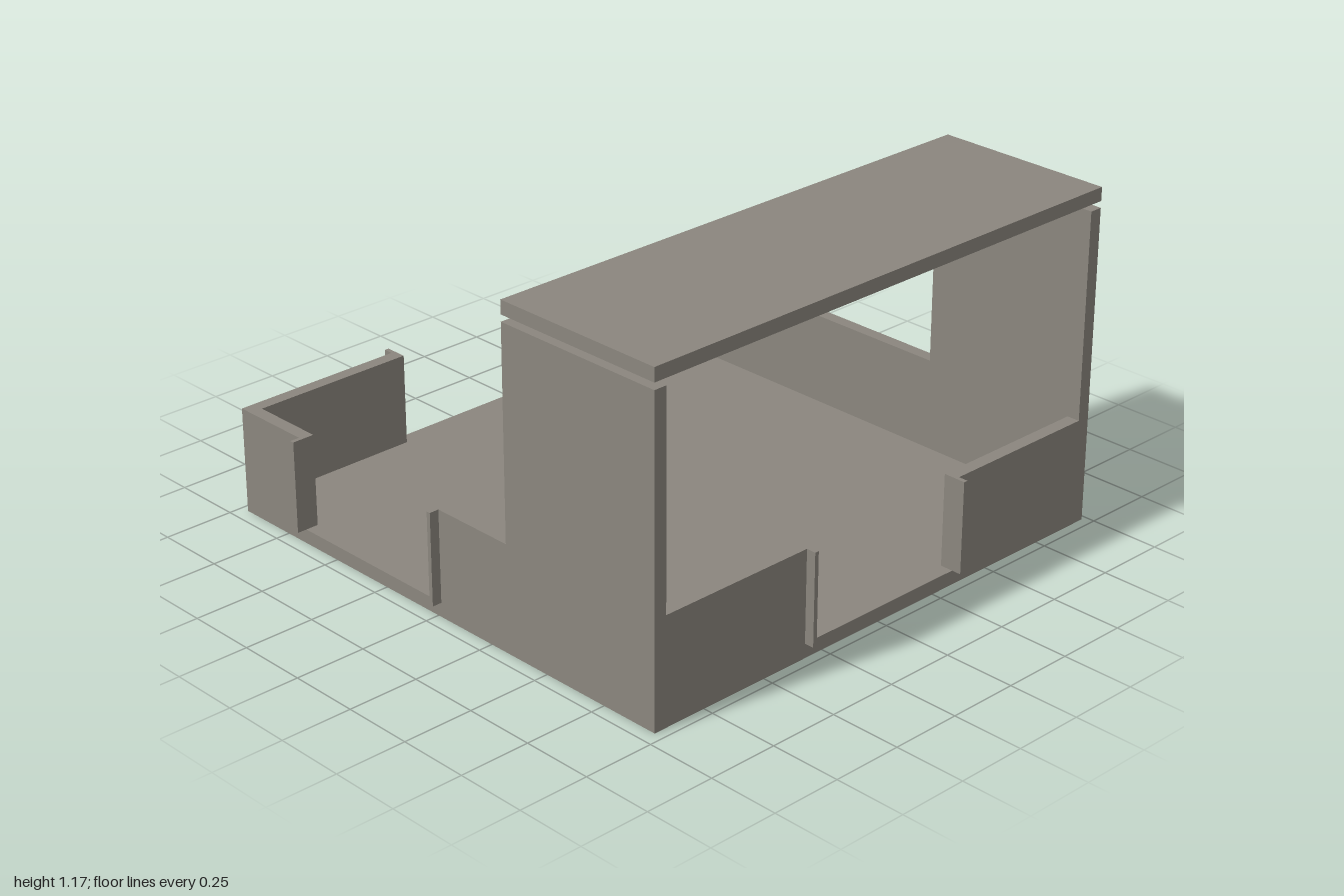
import * as THREE from 'three';

export function createModel() {
  const model = new THREE.Group();
  model.name = 'roomModel';
  const stone = new THREE.MeshStandardMaterial({ color: 0x8b867e });
  stone.name = 'warm grey';

  // Box given by its min and max on each axis
  function block(name, [x0, x1], [y0, y1], [z0, z1]) {
    const mesh = new THREE.Mesh(new THREE.BoxGeometry(x1 - x0, y1 - y0, z1 - z0), stone);
    mesh.name = name;
    mesh.position.set((x0 + x1) / 2, (y0 + y1) / 2, (z0 + z1) / 2);
    model.add(mesh);
  }

  const R = -0.95, L = 0.98, B = -0.968, F = 0.965; // outer faces
  const T = 0.046;                                 // wall thickness
  const J = 0.015;                                 // jamb thickness
  const OUT = 0.034;                               // jamb projection
  const floorTop = 0.05, wallTop = 0.373;
  const wallY = [floorTop, wallTop];
  const doorR = -0.31, doorL = 0.34;               // front and back openings
  const sideBack = -0.655, sideFront = 0;          // right side opening

  block('floor', [R, L], [0, floorTop], [B, F]);

  // Front and back walls, each with a central opening framed by jambs
  for (const [side, z, jambZ] of [
    ['front', [F - T, F], [F - T, F + OUT]],
    ['back', [B, B + T], [B - OUT, B + T]],
  ]) {
    block(side + 'WallRight', [R, doorR - J], wallY, z);
    block(side + 'JambRight', [doorR - J, doorR], wallY, jambZ);
    block(side + 'JambLeft', [doorL, doorL + J], wallY, jambZ);
    block(side + 'WallLeft', [doorL + J, L], wallY, z);
  }

  // Unbroken left wall
  block('leftWall', [L - T, L], wallY, [B + T, F - T]);

  // Right wall with its opening and jambs
  const jambX = [R - OUT, R + T];
  block('rightWallBack', [R, R + T], wallY, [B + T, sideBack - J]);
  block('rightJambBack', jambX, wallY, [sideBack - J, sideBack]);
  block('rightJambFront', jambX, wallY, [sideFront, sideFront + J]);
  block('rightWallFront', [R, R + T], wallY, [sideFront + J, F - T]);

  // Tall upper side walls and the slab floating just above them
  const upperZ = [0.325, F];
  block('upperWallRight', [R, R + T], [wallTop, 1.097], upperZ);
  block('upperWallLeft', [L - T, L], [wallTop, 1.097], upperZ);
  block('roofSlab', [R, L], [1.12, 1.167], upperZ);

  return model;
}
